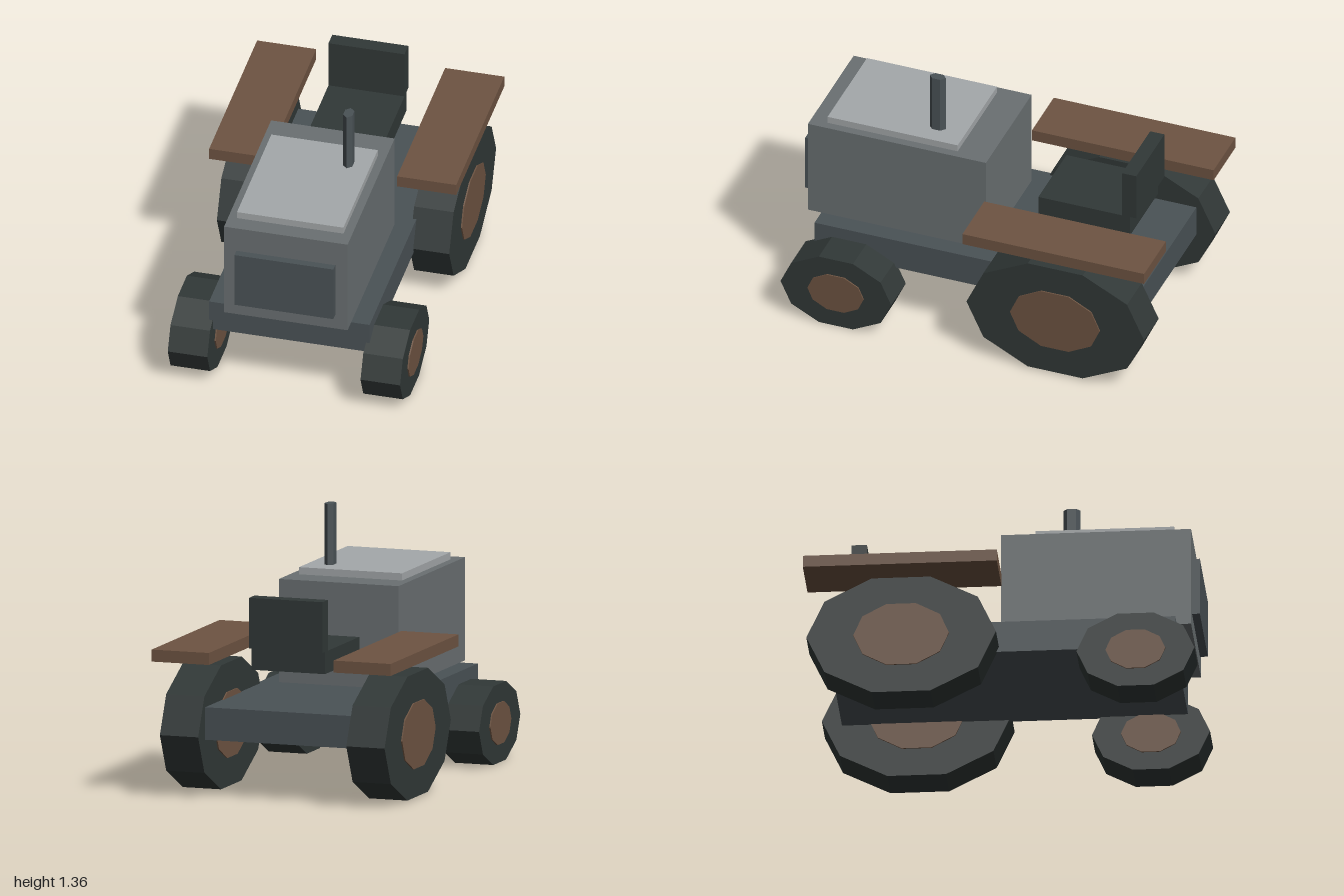
import * as THREE from 'three';

const paint = (color) => new THREE.MeshStandardMaterial({ color, flatShading: true });

export function createModel() {
  const model = new THREE.Group();
  model.name = 'tractor';

  const steel = paint(0x4a5256);
  const hoodGrey = paint(0x6a7072);
  const lightGrey = paint(0xa4a8aa);
  const rubber = paint(0x313837);
  const brown = paint(0x6e5442);

  function add(name, geometry, material, parent = model) {
    const mesh = new THREE.Mesh(geometry, material);
    mesh.name = name;
    parent.add(mesh);
    return mesh;
  }

  // Box given by its extents on each axis
  function box(name, [x0, x1], [y0, y1], [z0, z1], material) {
    const mesh = add(name, new THREE.BoxGeometry(x1 - x0, y1 - y0, z1 - z0), material);
    mesh.position.set((x0 + x1) / 2, (y0 + y1) / 2, (z0 + z1) / 2);
  }

  // Ten-sided disc lying across x, stretched along z
  function disc(width, halfHeight, halfLength) {
    const radiusY = halfHeight / Math.cos(Math.PI / 10);
    return new THREE.CylinderGeometry(1, 1, width, 10)
      .rotateZ(Math.PI / 2)
      .scale(1, radiusY, halfLength);
  }

  // Wheel with a hub that stands slightly proud on both faces
  function wheel(name, x, y, z, tyre, hub) {
    const group = new THREE.Group();
    group.name = name;
    group.position.set(x, y, z);
    add('tyre', disc(0.208, ...tyre), rubber, group);
    add('hub', disc(0.222, ...hub), brown, group);
    model.add(group);
  }

  // Body
  box('chassis', [-0.422, 0.422], [0.302, 0.47], [-0.882, 0.887], steel);
  box('hood', [-0.325, 0.325], [0.47, 1.003], [-0.012, 0.96], hoodGrey);
  box('hoodPlate', [-0.28, 0.28], [1.003, 1.04], [0.16, 0.87], lightGrey);
  box('grille', [-0.26, 0.26], [0.555, 0.864], [0.96, 1.0], steel);

  // Six-sided exhaust pipe, longer along z
  const exhaust = new THREE.CylinderGeometry(1, 1, 0.317, 6).scale(0.028, 1, 0.044);
  add('exhaust', exhaust, steel).position.set(0.166, 1.1975, 0.312);

  // Seat
  box('seat', [-0.2, 0.2], [0.655, 0.77], [-0.75, -0.25], rubber);
  box('seatBack', [-0.2, 0.2], [0.77, 1.032], [-0.785, -0.707], rubber);

  // Wheels and fenders on both sides
  for (const [side, s] of [['left', 1], ['right', -1]]) {
    wheel(`${side}FrontWheel`, s * 0.507, 0.203, 0.698, [0.203, 0.302], [0.107, 0.153]);
    wheel(`${side}RearWheel`, s * 0.507, 0.33, -0.5, [0.32, 0.485], [0.17, 0.245]);
    const inner = s * 0.339, outer = s * 0.65;
    box(`${side}Fender`, [Math.min(inner, outer), Math.max(inner, outer)], [0.71, 0.772], [-1.0, -0.008], brown);
  }

  return model;
}
